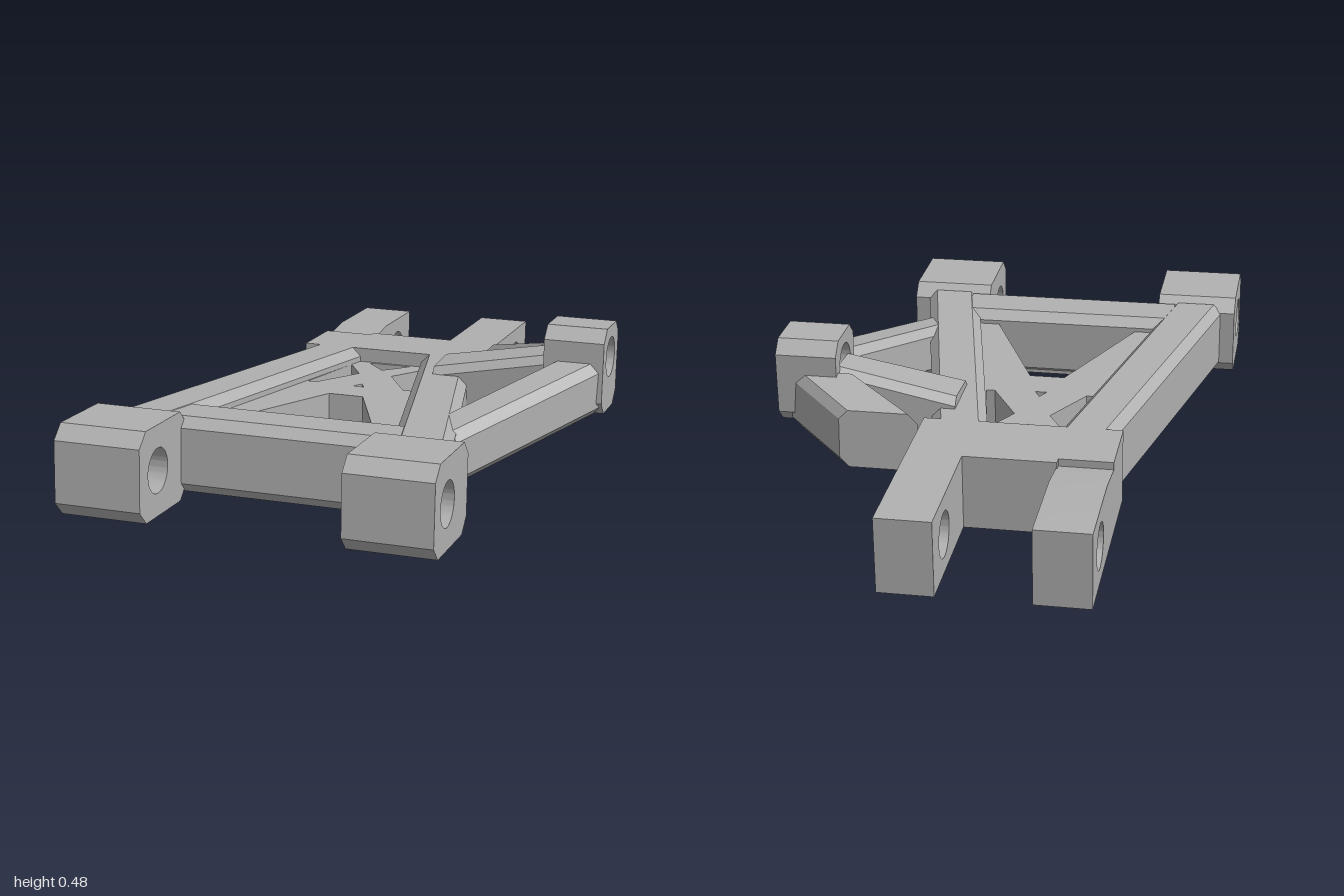
import * as THREE from 'three';
import { toCreasedNormals } from 'three/addons/utils/BufferGeometryUtils.js';
import { ConvexGeometry } from 'three/addons/geometries/ConvexGeometry.js';

const AXIS = -0.11; // symmetry line of the main arm
const TILT = -0.072;
const V3 = (p) => new THREE.Vector3(...p);

// Chamfered rectangle as [a, b] pairs
function octagon(a, b, ha, hb, c) {
  return [[ha, hb - c], [ha - c, hb], [c - ha, hb], [-ha, hb - c],
    [-ha, c - hb], [c - ha, -hb], [ha - c, -hb], [ha, c - hb]].map(([p, q]) => [a + p, b + q]);
}

// Chamfered beam between two sections [position, a, b, halfA, halfB] along x or z
function beam(along, s0, s1, c) {
  const pts = [];
  for (const [t, ...s] of [s0, s1]) {
    for (const [a, b] of octagon(...s, c)) pts.push(V3(along === 'z' ? [a, b, t] : [t, b, a]));
  }
  return new ConvexGeometry(pts);
}

const toShape = (pts) => new THREE.Shape(pts.map((p) => new THREE.Vector2(...p)));

// Side profile in (z, y) with a round bore, extruded across x
function bored(pts, hz, hy, r, x0, x1) {
  const shape = toShape(pts);
  shape.holes.push(new THREE.Path().absarc(hz, hy, r, 0, Math.PI * 2, true));
  const g = new THREE.ExtrudeGeometry(shape, { depth: x1 - x0, bevelEnabled: false, curveSegments: 32 });
  g.rotateY(-Math.PI / 2).translate(x1, 0, 0);
  return toCreasedNormals(g, 0.5);
}

export function createModel() {
  const metal = new THREE.MeshStandardMaterial({ color: 0xb0b0b0 });
  metal.name = 'grey';
  const model = new THREE.Group();
  const arm = new THREE.Group();
  arm.name = 'mainArm';
  arm.position.y = 0.187;
  arm.rotation.x = TILT;
  model.add(arm);
  const add = (parent, name, geometry) => {
    const m = new THREE.Mesh(geometry, metal);
    m.name = name;
    parent.add(m);
    return m;
  };

  for (const s of [-1, 1]) {
    const side = s < 0 ? 'right' : 'left';
    const span = (a, b) => (s < 0 ? [AXIS - b, AXIS - a] : [AXIS + a, AXIS + b]);
    // Front pivot block
    add(arm, side + 'FrontPivot',
      bored(octagon(0.833, 0, 0.159, 0.133, 0.042), 0.87, 0, 0.066, ...span(0.293, 0.552)));
    // Splayed side rail
    add(arm, side + 'Rail', beam('z',
      [-0.35, AXIS + s * 0.19, 0, 0.085, 0.115], [0.69, AXIS + s * 0.42, 0, 0.088, 0.115], 0.028));
    // Rear fork prong; the right one has a shallow relief cut on top
    const relief = s < 0 ? [[-0.56, 0.115], [-0.56, 0.092], [-0.71, 0.115]] : [];
    add(arm, side + 'ForkProng', bored(
      [[-0.992, -0.115], [-0.345, -0.115], [-0.345, 0.115], ...relief, [-0.992, 0.115]],
      -0.845, 0, 0.068, ...span(0.136, 0.3)));
  }

  // Solid bridge joining the fork prongs
  const bridge = add(arm, 'forkBridge', new THREE.BoxGeometry(0.28, 0.23, 0.24));
  bridge.position.set(AXIS, 0, -0.465);

  // Front cross bar
  add(arm, 'frontCrossBar', beam('x',
    [-0.46, 0.615, 0, 0.095, 0.113], [0.24, 0.615, 0, 0.095, 0.113], 0.03));

  // Inner truss web with cut-outs, in (x, z) about the symmetry line
  const web = toShape([[-0.17, -0.35], [0.17, -0.35], [0.39, 0.58], [-0.39, 0.58]]);
  const cut = (pts) => web.holes.push(new THREE.Path(pts.map((p) => new THREE.Vector2(...p))));
  cut([[-0.055, 0.11], [0.055, 0.11], [0.235, 0.53], [-0.235, 0.53]]);
  cut([[-0.07, -0.335], [0.07, -0.335], [0, -0.25]]);
  cut([[0, -0.045], [0.018, -0.01], [-0.018, -0.01]]);
  for (const s of [-1, 1]) cut([[s * 0.118, -0.29], [s * 0.055, -0.18], [s * 0.145, -0.02], [s * 0.172, -0.02]]);
  const webGeo = new THREE.ExtrudeGeometry(web, { depth: 0.175, bevelEnabled: false });
  webGeo.rotateX(Math.PI / 2).translate(AXIS, 0.07, 0);
  add(arm, 'trussWeb', webGeo);

  // Raised side bracket: bored boss carried by three struts
  const bracket = new THREE.Group();
  bracket.name = 'sideBracket';
  model.add(bracket);
  const boss = add(bracket, 'bracketBoss',
    bored(octagon(0, 0, 0.108, 0.134, 0.04), 0, 0.034, 0.063, 0.472, 0.66));
  boss.position.set(0, 0.343, -0.187);
  boss.rotation.x = TILT;
  add(bracket, 'frontStrut', beam('z',
    [0.51, 0.277, 0.23, 0.075, 0.084], [-0.1, 0.577, 0.298, 0.08, 0.084], 0.028));
  add(bracket, 'rearStrut', beam('z',
    [-0.42, 0.315, 0.22, 0.12, 0.09], [-0.28, 0.51, 0.285, 0.11, 0.09], 0.028));
  add(bracket, 'innerStrut', beam('x',
    [0.11, -0.185, 0.225, 0.095, 0.09], [0.48, -0.185, 0.295, 0.085, 0.09], 0.025));

  return model;
}
